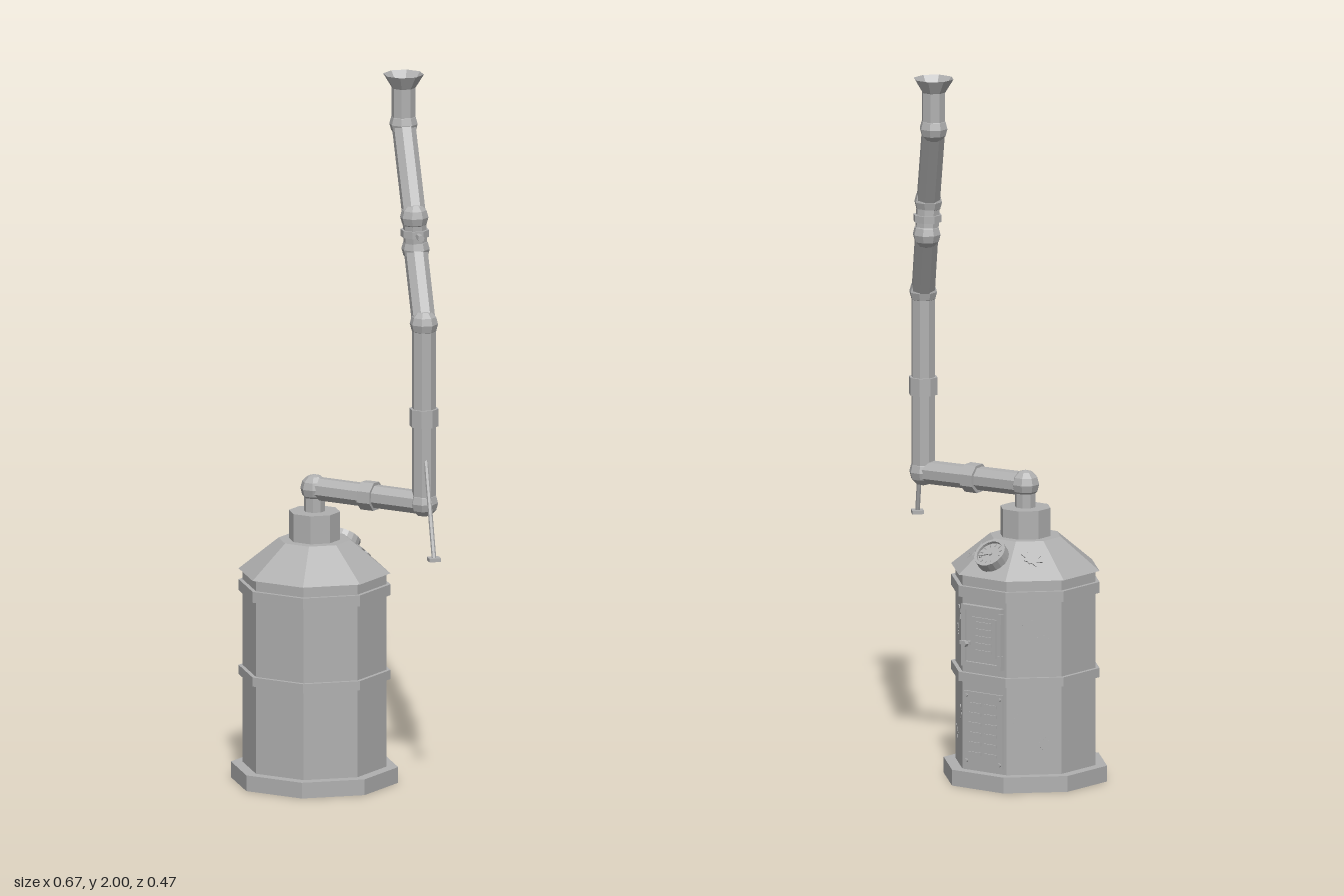
import * as THREE from 'three';

const iron = new THREE.MeshStandardMaterial({ color: 0xb0b0b0 });
iron.name = 'grey iron';
const V = (x, y, z) => new THREE.Vector3(x, y, z);
const UP = V(0, 1, 0);
const C8 = Math.cos(Math.PI / 8);

// Faceted mesh added to a parent
function add(parent, name, geo, x = 0, y = 0, z = 0) {
  const g = geo.index ? geo.toNonIndexed() : geo;
  g.computeVertexNormals();
  const m = new THREE.Mesh(g, iron);
  m.name = name;
  m.position.set(x, y, z);
  parent.add(m);
  return m;
}
// Octagonal drum given by its half widths across the flats
function drum(parent, name, bottom, top, y0, y1) {
  const g = new THREE.CylinderGeometry(top / C8, bottom / C8, y1 - y0, 8).rotateY(Math.PI / 8);
  return add(parent, name, g, 0, (y0 + y1) / 2, 0);
}
// Octagonal pipe between two points
function pipe(parent, name, a, b, r, sides = 8) {
  const d = b.clone().sub(a);
  const g = new THREE.CylinderGeometry(r / C8, r / C8, d.length(), sides).rotateY(Math.PI / sides);
  const m = add(parent, name, g);
  m.position.copy(a).add(b).multiplyScalar(0.5);
  m.quaternion.setFromUnitVectors(UP, d.normalize());
  return m;
}
const box = (p, name, w, h, d, x, y, z) => add(p, name, new THREE.BoxGeometry(w, h, d), x, y, z);

// Jagged thin dent mark
function dent(parent, x, y, z, size, turn) {
  const s = new THREE.Shape();
  for (let i = 0; i < 16; i++) {
    const r = size * (i % 2 ? 0.5 : 0.8 + 0.2 * Math.sin(i * 2.3));
    const a = turn + i * Math.PI / 8;
    s[i ? 'lineTo' : 'moveTo'](r * Math.cos(a), r * Math.sin(a));
  }
  add(parent, 'dent', new THREE.ExtrudeGeometry(s, { depth: 0.003, bevelEnabled: false }), x, y, z);
}
// Rectangular frame
function frame(parent, name, w, h, t, depth, y, z) {
  for (const s of [-1, 1]) {
    box(parent, name, t, h, depth, s * (w - t) / 2, y, z);
    box(parent, name, w - 2 * t, t, depth, 0, y + s * (h - t) / 2, z);
  }
}

export function createModel() {
  const root = new THREE.Group();
  root.name = 'boiler';
  const body = new THREE.Group();
  body.name = 'tank';
  body.position.set(-0.117, 0, 0.016);
  root.add(body);

  // Tank, bands, roof and neck
  drum(body, 'base', 0.218, 0.218, 0, 0.045);
  drum(body, 'shell', 0.187, 0.187, 0.045, 0.6);
  drum(body, 'middleBand', 0.198, 0.198, 0.296, 0.322);
  drum(body, 'upperBand', 0.198, 0.198, 0.536, 0.567);
  drum(body, 'roof', 0.198, 0.094, 0.598, 0.69);
  drum(body, 'neck', 0.067, 0.067, 0.69, 0.77);

  // Groups facing outward from one side of the tank; the roof group lies on the slope
  const side = (angle) => {
    const g = new THREE.Group();
    g.name = 'sidePanel';
    g.rotation.y = angle;
    body.add(g);
    return g;
  };
  const slope = (parent, apothem) => {
    const g = new THREE.Group();
    g.name = 'roofPanel';
    g.position.set(0, 0.6 + (0.198 - apothem) * 0.885, apothem);
    g.rotation.x = -0.847;
    parent.add(g);
    return g;
  };

  // Back: firebox door
  const back = side(Math.PI);
  box(back, 'doorPlate', 0.14, 0.175, 0.012, 0, 0.43, 0.19);
  frame(back, 'doorFrame', 0.14, 0.175, 0.014, 0.012, 0.43, 0.198);
  box(back, 'doorPanel', 0.085, 0.11, 0.006, 0.008, 0.43, 0.198);
  for (let i = 0; i < 5; i++) box(back, 'doorSlat', 0.06, 0.007, 0.006, 0.008, 0.39 + i * 0.02, 0.202);
  for (const y of [0.37, 0.49]) box(back, 'hinge', 0.016, 0.028, 0.014, 0.066, y, 0.2);
  pipe(back, 'handleStem', V(-0.045, 0.41, 0.19), V(-0.045, 0.41, 0.215), 0.005, 6);
  pipe(back, 'handleKnob', V(-0.045, 0.41, 0.213), V(-0.045, 0.41, 0.226), 0.009, 6);
  box(back, 'latch', 0.035, 0.01, 0.008, -0.052, 0.41, 0.207);

  // Back: vent plate with two columns of slats and corner bolts
  box(back, 'ventPlate', 0.135, 0.21, 0.01, 0, 0.165, 0.188);
  for (let i = 0; i < 6; i++)
    for (const s of [-1, 1]) box(back, 'ventSlat', 0.042, 0.009, 0.006, s * 0.027, 0.095 + i * 0.028, 0.194);
  for (const x of [-0.058, 0.058])
    for (const y of [0.072, 0.258]) pipe(back, 'bolt', V(x, y, 0.19), V(x, y, 0.198), 0.005, 6);

  // Pressure gauge on the back of the roof
  const gauge = slope(back, 0.146);
  gauge.name = 'gauge';
  const profile = [[0, 0.019], [0.039, 0.019], [0.039, 0.027], [0.047, 0.027], [0.047, -0.004]].reverse()
    .map(([r, h]) => new THREE.Vector2(r, h));
  add(gauge, 'gaugeCase', new THREE.LatheGeometry(profile, 18).rotateX(Math.PI / 2));
  for (let i = 0; i < 12; i++) {
    const a = i * Math.PI / 6;
    const t = box(gauge, 'tick', 0.009, 0.002, 0.003, 0.031 * Math.cos(a), 0.031 * Math.sin(a), 0.02);
    t.rotation.z = a;
  }
  pipe(gauge, 'needleHub', V(0, 0, 0.018), V(0, 0, 0.024), 0.005);
  box(gauge, 'needle', 0.036, 0.004, 0.003, -0.016, -0.006, 0.022).rotation.z = 0.38;

  // Dents on the two rear diagonal sides and roof slopes
  for (const s of [-1, 1]) {
    const diag = side(s * Math.PI * 0.75);
    [[0.02, 0.48], [-0.02, 0.425], [0.04, 0.2], [-0.03, 0.13]].forEach(([x, y], i) =>
      dent(diag, s * x, y, 0.185, 0.026, i));
    dent(slope(diag, 0.141), 0, 0, -0.001, 0.034, 0.3);
  }

  // Chimney: pipes with ball joints
  const flue = new THREE.Group();
  flue.name = 'flue';
  root.add(flue);
  const path = [V(-0.117, 0.76, 0.016), V(-0.117, 0.835, 0.016), V(0.228, 0.83, -0.003), V(0.228, 1.342, -0.003),
    V(0.147, 1.53, -0.092), V(0.147, 1.622, -0.085), V(0.052, 1.858, -0.184), V(0.052, 1.965, -0.184)];
  path.forEach((p, i) => {
    if (i === 0) return;
    pipe(flue, 'fluePipe', path[i - 1], p, i === 1 ? 0.027 : 0.031);
    if (i < path.length - 1)
      add(flue, 'ballJoint', new THREE.SphereGeometry(0.04, 8, 6).rotateY(Math.PI / 8), p.x, p.y, p.z);
  });
  pipe(flue, 'coupling', V(0.037, 0.832, 0.007), V(0.077, 0.832, 0.005), 0.039);
  pipe(flue, 'coupling', V(0.228, 1.05, -0.003), V(0.228, 1.1, -0.003), 0.038);

  // Damper collar and lever
  pipe(flue, 'damperCollar', V(0.147, 1.566, -0.088), V(0.147, 1.586, -0.088), 0.037);
  pipe(flue, 'damperLever', V(0.147, 1.575, -0.088), V(0.197, 1.575, -0.038), 0.007, 6);
  pipe(flue, 'leverGrip', V(0.182, 1.575, -0.053), V(0.2, 1.575, -0.035), 0.009, 6);

  // Open funnel on top
  const cone = [[0.03, 1.96], [0.033, 1.965], [0.053, 2], [0.031, 1.967], [0, 1.967]]
    .map(([r, y]) => new THREE.Vector2(r / C8, y));
  add(flue, 'funnel', new THREE.LatheGeometry(cone, 8, Math.PI / 8), 0.052, 0, -0.184);

  // Support strut with a square foot
  pipe(flue, 'strut', V(0.24, 0.98, 0.01), V(0.308, 0.695, 0.075), 0.006, 6);
  box(flue, 'strutFoot', 0.033, 0.01, 0.033, 0.308, 0.693, 0.075).rotation.y = Math.PI / 4;
  return root;
}
